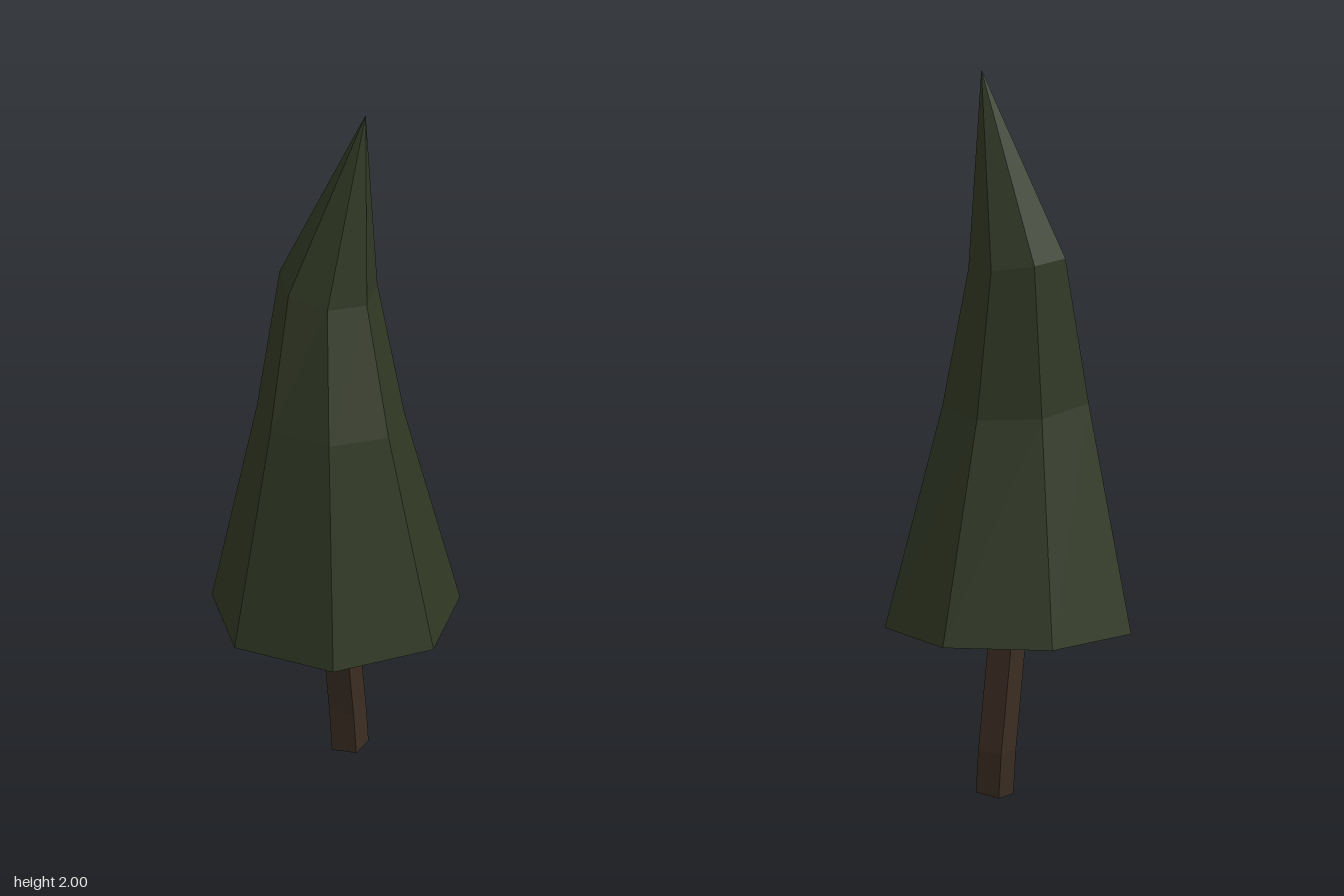
import * as THREE from 'three';

// Regular ring of points, starting at the back and turning towards +x; tilt gives height change per x and z
function ring(sides, radius, cx, cy, cz, tiltX = 0, tiltZ = 0) {
  return Array.from({ length: sides }, (_, i) => {
    const a = (i / sides) * Math.PI * 2;
    const dx = Math.sin(a) * radius, dz = -Math.cos(a) * radius;
    return new THREE.Vector3(cx + dx, cy + dx * tiltX + dz * tiltZ, cz + dz);
  });
}

// Square ring for the trunk
function square(half, cx, cy, cz, tiltX = 0) {
  return [[-1, -1], [1, -1], [1, 1], [-1, 1]].map(([x, z]) =>
    new THREE.Vector3(cx + x * half, cy + x * half * tiltX, cz + z * half));
}

// Faceted skin through the rings, with flat end caps
function loft(rings) {
  const points = [];
  const n = rings[0].length;
  for (let r = 0; r < rings.length - 1; r++) {
    const low = rings[r], up = rings[r + 1];
    for (let i = 0; i < n; i++) {
      const j = (i + 1) % n;
      if (up.length === 1) {
        points.push(low[j], low[i], up[0]);
      } else {
        points.push(low[j], low[i], up[i], low[j], up[i], up[j]);
      }
    }
  }
  const bottom = rings[0], top = rings[rings.length - 1];
  for (let i = 1; i < n - 1; i++) {
    points.push(bottom[0], bottom[i], bottom[i + 1]);
    if (top.length > 1) points.push(top[0], top[i + 1], top[i]);
  }
  const geometry = new THREE.BufferGeometry().setFromPoints(points);
  geometry.computeVertexNormals();
  return geometry;
}

export function createModel() {
  const needles = new THREE.MeshStandardMaterial({ color: 0x303824, flatShading: true });
  needles.name = 'dark green needles';
  const bark = new THREE.MeshStandardMaterial({ color: 0x3a2c22, flatShading: true });
  bark.name = 'brown bark';

  // Seven-sided crown that bends towards its leaning tip
  const crown = new THREE.Mesh(loft([
    ring(7, 0.345, 0, 0.46, 0.015),
    ring(7, 0.205, 0, 1.08, 0.046, 0, 0.1),
    ring(7, 0.136, -0.022, 1.47, 0.015, -0.15, 0),
    [new THREE.Vector3(0.073, 2, -0.022)],
  ]), needles);
  crown.name = 'crown';

  // Crooked square trunk
  const trunk = new THREE.Mesh(loft([
    square(0.037, 0.01, 0.005, -0.054, 0.12),
    square(0.037, 0.002, 0.125, -0.054, 0.05),
    square(0.037, 0.002, 0.47, 0.005),
  ]), bark);
  trunk.name = 'trunk';

  const tree = new THREE.Group();
  tree.name = 'tree';
  tree.add(crown, trunk);
  return tree;
}
